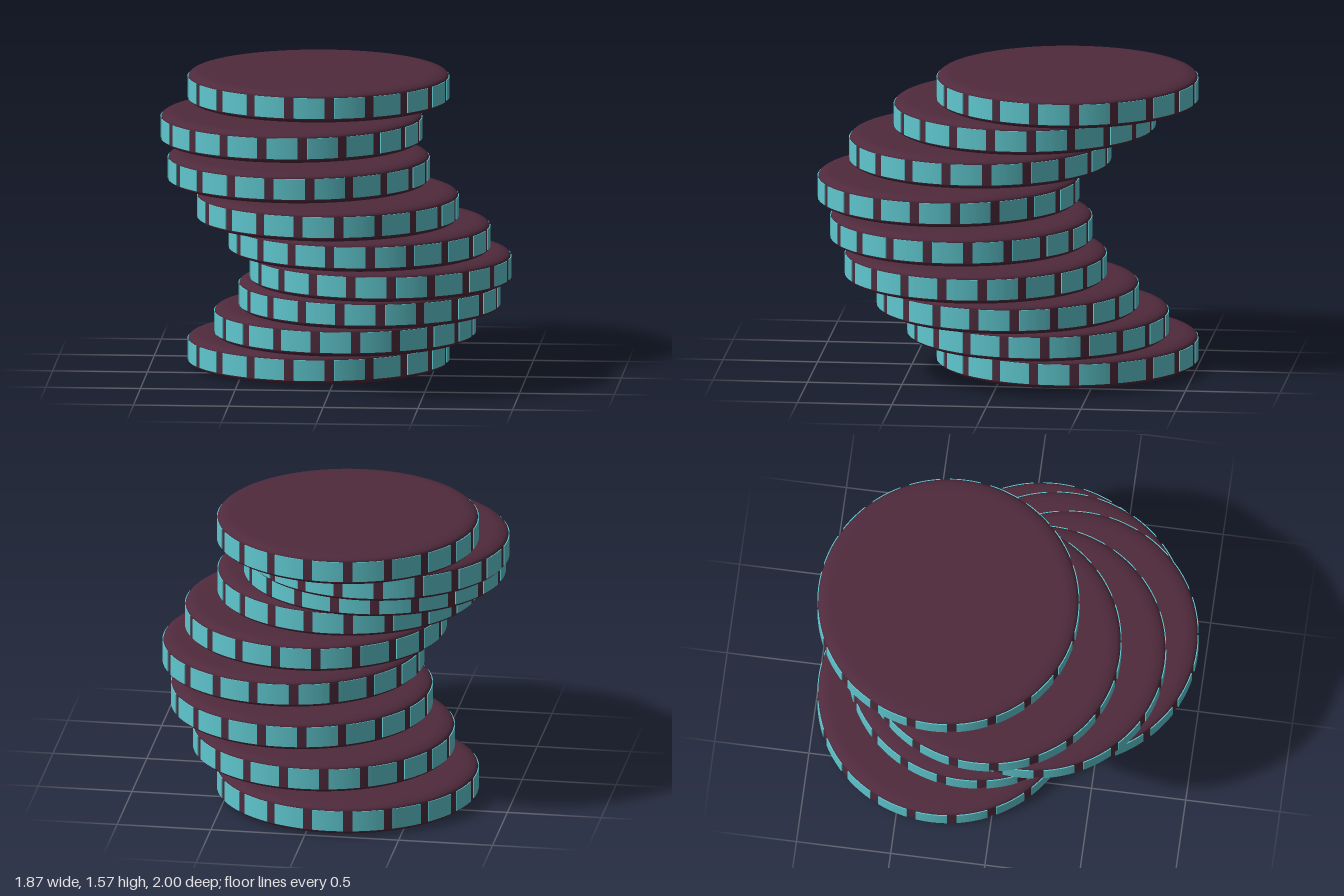
import * as THREE from 'three';

const BODY_RADIUS = 0.685, TILE_RADIUS = 0.69;
const THICKNESS = 0.17, PITCH = 0.175;
const TILE_COUNT = 20, TILE_HEIGHT = 0.11;

// [x, z] centre of every disc, bottom to top
const CENTRES = [
  [-0.12, -0.31], [0.03, -0.17], [0.17, -0.025], [0.24, 0.137], [0.135, 0.225],
  [-0.025, 0.31], [-0.19, 0.16], [-0.245, -0.07], [-0.12, -0.31],
];

// Disc with softly rounded rims above and below a straight band
function discGeometry() {
  const rx = 0.08, ry = (THICKNESS - TILE_HEIGHT) / 2, steps = 8;
  const rim = [];
  for (let i = 0; i <= steps; i++) {
    const a = (i / steps) * Math.PI / 2;
    rim.push([BODY_RADIUS - rx + rx * Math.sin(a), TILE_HEIGHT / 2 + ry * Math.cos(a)]);
  }
  const lower = rim.map(([r, y]) => new THREE.Vector2(r, -y));
  const upper = rim.map(([r, y]) => new THREE.Vector2(r, y)).reverse();
  const half = THICKNESS / 2;
  return new THREE.LatheGeometry(
    [new THREE.Vector2(0, -half), ...lower, ...upper, new THREE.Vector2(0, half)], 96);
}

// Curved inlay plate, centred on the +z side of the disc
function tileGeometry() {
  const span = THREE.MathUtils.degToRad(13.8);
  const shape = new THREE.Shape();
  shape.absarc(0, 0, TILE_RADIUS, -Math.PI / 2 - span / 2, -Math.PI / 2 + span / 2, false);
  shape.absarc(0, 0, BODY_RADIUS - 0.03, -Math.PI / 2 + span / 2, -Math.PI / 2 - span / 2, true);
  const g = new THREE.ExtrudeGeometry(shape, { depth: TILE_HEIGHT, bevelEnabled: false, curveSegments: 6 });
  g.translate(0, 0, -TILE_HEIGHT / 2);
  g.rotateX(-Math.PI / 2);
  return g;
}

export function createModel() {
  const model = new THREE.Group();
  model.name = 'discStack';
  const bodyMaterial = new THREE.MeshStandardMaterial({ color: 0x4f2a3c });
  const tileMaterial = new THREE.MeshStandardMaterial({ color: 0x5fc8cf });
  const discGeo = discGeometry(), tileGeo = tileGeometry();

  CENTRES.forEach(([x, z], level) => {
    const disc = new THREE.Group();
    disc.name = `disc${level + 1}`;
    disc.position.set(x, THICKNESS / 2 + level * PITCH, z);

    const body = new THREE.Mesh(discGeo, bodyMaterial);
    body.name = 'discBody';
    disc.add(body);

    // Ring of inlaid edge tiles
    for (let i = 0; i < TILE_COUNT; i++) {
      const tile = new THREE.Mesh(tileGeo, tileMaterial);
      tile.name = 'edgeTile';
      tile.rotation.y = (i / TILE_COUNT) * Math.PI * 2;
      disc.add(tile);
    }
    model.add(disc);
  });
  return model;
}
